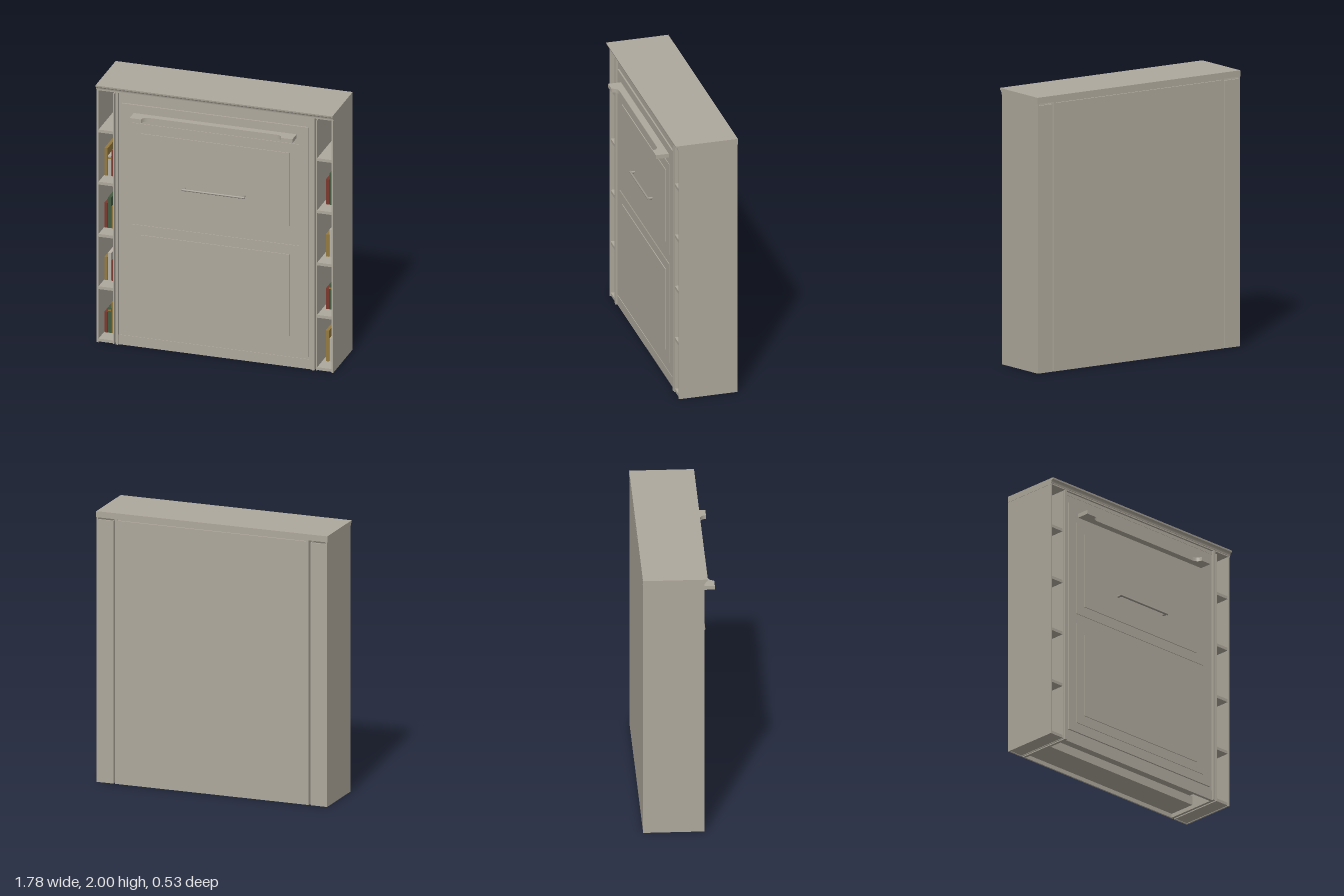
import * as THREE from 'three';

const mat = (name, color) => {
  const m = new THREE.MeshStandardMaterial({ color });
  m.name = name;
  return m;
};

export function createModel() {
  const model = new THREE.Group();
  model.name = 'wallBedWithBookcases';
  const wood = mat('greige wood', 0xaea89c);
  const metal = mat('handle grey', 0x9c978d);
  const cover = {
    y: mat('ochre cover', 0x94793f), w: mat('pale cover', 0xb8b2a7),
    r: mat('red cover', 0x7a382c), g: mat('green cover', 0x445a40),
  };

  const add = (name, geo, material, parent = model) => {
    const mesh = new THREE.Mesh(geo, material);
    mesh.name = name;
    parent.add(mesh);
    return mesh;
  };
  // Box given by its limits on each axis
  const box = (name, x0, x1, y0, y1, z0, z1, material = wood, parent = model) => {
    const mesh = add(name, new THREE.BoxGeometry(x1 - x0, y1 - y0, z1 - z0), material, parent);
    mesh.position.set((x0 + x1) / 2, (y0 + y1) / 2, (z0 + z1) / 2);
    return mesh;
  };

  // Crown: slab with a cove along its front edge, swept across the width
  const crown = new THREE.Shape();
  crown.moveTo(-0.263, 1.955);
  crown.lineTo(0.175, 1.955);
  crown.lineTo(0.175, 1.964);
  crown.lineTo(0.179, 1.964);
  crown.quadraticCurveTo(0.181, 1.984, 0.197, 1.988);
  crown.lineTo(0.199, 2);
  crown.lineTo(-0.263, 2);
  const crownGeo = new THREE.ExtrudeGeometry(crown, { depth: 1.776, bevelEnabled: false, curveSegments: 6 });
  crownGeo.rotateY(-Math.PI / 2); // profile x becomes z
  crownGeo.translate(0.888, 0, 0);
  add('crown', crownGeo, wood);

  // Bed cabinet
  for (const s of [-1, 1]) {
    box('cabinetSide', s * 0.735 - 0.01, s * 0.735 + 0.01, 0, 1.955, -0.262, 0.175);
  }
  box('cabinetBack', -0.725, 0.725, 0, 1.945, -0.262, -0.25);
  box('cabinetTop', -0.725, 0.725, 1.93, 1.955, -0.25, 0.16);
  box('header', -0.725, 0.725, 1.87, 1.932, 0.12, 0.15);
  box('toeKick', -0.725, 0.725, 0, 0.075, 0.14, 0.162);
  box('bedFrame', -0.7, 0.7, 0.095, 1.86, -0.1, 0.14);
  box('rearRail', -0.725, 0.725, 0.03, 0.1, -0.06, -0.04);
  box('rearFloor', -0.725, 0.725, 0.03, 0.05, -0.25, -0.06);

  // Door front with two raised panels
  box('doorBase', -0.724, 0.724, 0.075, 1.932, 0.13, 0.158);
  box('door', -0.7, 0.7, 0.095, 1.875, 0.14, 0.169);
  for (const [y0, y1] of [[0.167, 0.95], [1.022, 1.737]]) {
    box('panelMoulding', -0.63, 0.63, y0, y1, 0.16, 0.174);
    box('panelField', -0.557, 0.557, y0 + 0.074, y1 - 0.074, 0.16, 0.18);
  }

  // Ledge across the door: deep ends, shallow curved middle
  const ledge = new THREE.Shape();
  ledge.moveTo(-0.61, 0.16);
  ledge.lineTo(0.61, 0.16);
  ledge.lineTo(0.61, 0.264);
  ledge.lineTo(0.525, 0.264);
  ledge.quadraticCurveTo(0.518, 0.222, 0.475, 0.22);
  ledge.lineTo(-0.475, 0.22);
  ledge.quadraticCurveTo(-0.518, 0.222, -0.525, 0.264);
  ledge.lineTo(-0.61, 0.264);
  const ledgeGeo = new THREE.ExtrudeGeometry(ledge, { depth: 0.03, bevelEnabled: false, curveSegments: 8 });
  ledgeGeo.rotateX(Math.PI / 2); // shape y becomes z
  ledgeGeo.translate(0, 1.812, 0);
  add('ledge', ledgeGeo, wood);

  // Pull handle
  const handle = new THREE.Group();
  handle.name = 'pullHandle';
  model.add(handle);
  const bar = add('pullBar', new THREE.CylinderGeometry(0.008, 0.008, 0.47, 16), metal, handle);
  bar.rotation.z = Math.PI / 2;
  bar.position.set(0, 1.284, 0.21);
  for (const s of [-1, 1]) {
    const post = add('pullPost', new THREE.CylinderGeometry(0.009, 0.009, 0.035, 16), metal, handle);
    post.rotation.x = Math.PI / 2;
    post.position.set(s * 0.222, 1.284, 0.195);
  }

  // Side bookcases with their shelves
  const shelfTops = [0.026, 0.432, 0.838, 1.243, 1.647];
  for (const s of [-1, 1]) {
    const bookcase = new THREE.Group();
    bookcase.name = s > 0 ? 'leftBookcase' : 'rightBookcase';
    model.add(bookcase);
    const part = (name, a, b, ...rest) =>
      box(name, Math.min(s * a, s * b), Math.max(s * a, s * b), ...rest, wood, bookcase);
    part('outerSide', 0.874, 0.886, 0, 1.955, -0.262, 0.175);
    part('innerSide', 0.757, 0.764, 0, 1.94, -0.262, 0.172);
    part('bookcaseBack', 0.764, 0.874, 0, 1.94, -0.262, -0.25);
    for (const y of shelfTops) part('shelf', 0.764, 0.874, y - 0.022, y, -0.25, 0.168);
  }

  // Books: cover codes, tops, and an optional band [book, height] per shelf
  const rows = {
    '-1': [
      ['rgyw', [0.185, 0.22, 0.265, 0.205], [1, 0.195]],
      ['ywrg', [0.61, 0.645, 0.59, 0.625], [3, 0.59]],
      ['rgyw', [1.03, 1.075, 1.01, 1.05]],
      ['ywrg', [1.455, 1.4, 1.435, 1.485], [1, 1.375]],
    ],
    '1': [
      ['ywr', [0.265, 0.205, 0.24], [2, 0.205]],
      ['rgy', [0.59, 0.625, 0.675], [1, 0.59]],
      ['ywr', [1.01, 1.05, 0.995]],
      ['rgy', [1.435, 1.485, 1.42]],
    ],
  };
  for (const side of ['-1', '1']) {
    const start = side === '1' ? 0.8 : -0.859;
    rows[side].forEach(([codes, tops, band], i) => {
      tops.forEach((top, j) => {
        const x = start + j * 0.027;
        box('book', x - 0.012, x + 0.012, shelfTops[i], top, -0.14, 0.045, cover[codes[j]]);
        if (band && band[0] === j) {
          box('bookBand', x - 0.012, x + 0.012, band[1], band[1] + 0.012, 0.045, 0.048, cover.y);
        }
      });
    });
  }
  return model;
}
